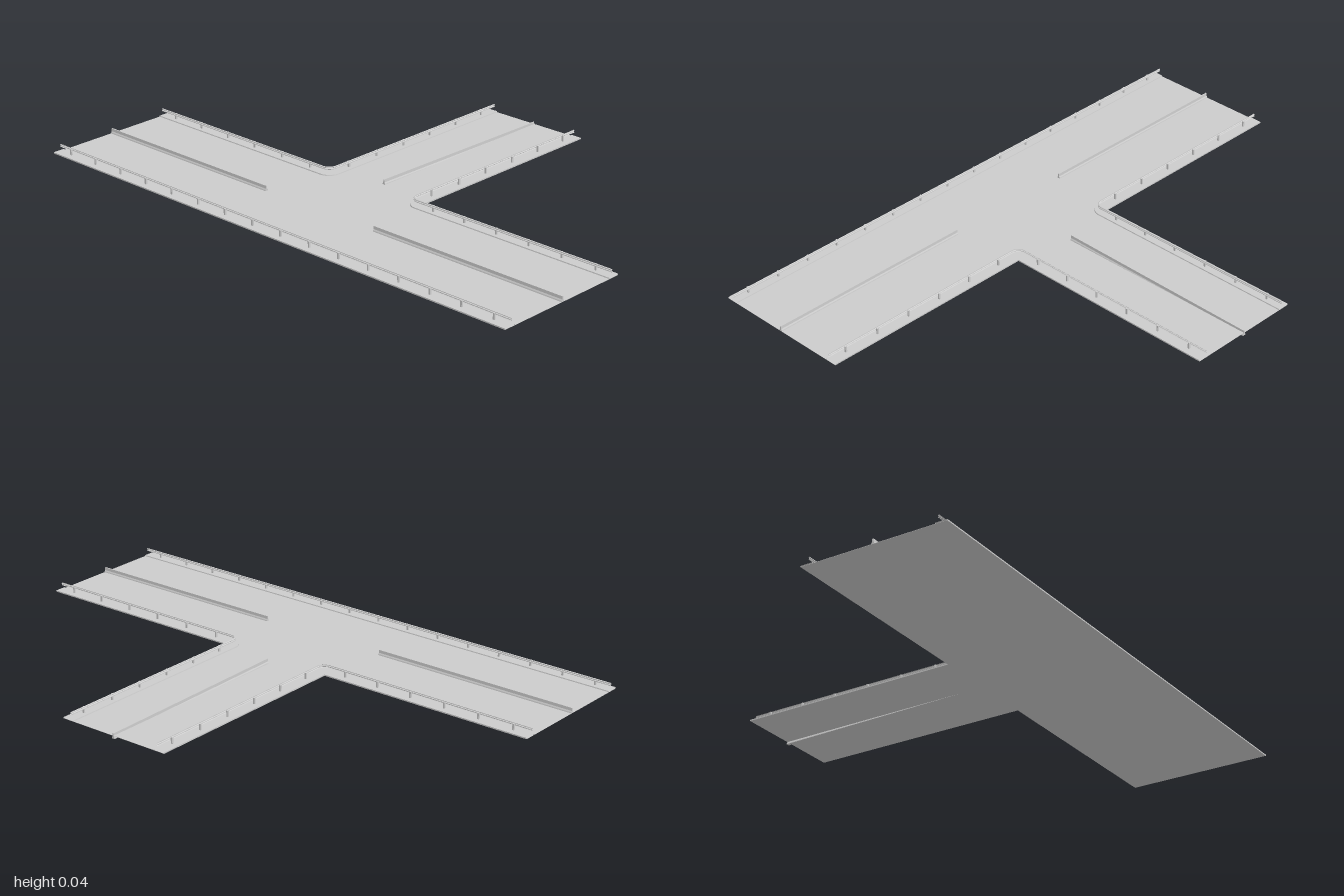
import * as THREE from 'three';

const ROAD_Y = 0.01;
const EDGE = 0.655;      // half extent in x
const KERB = 0.03;       // distance from rail line to road edge

const mat = new THREE.MeshStandardMaterial({ color: 0xcccccc, side: THREE.DoubleSide, flatShading: true });

function add(group, name, geometry) {
  const mesh = new THREE.Mesh(geometry, mat);
  mesh.name = name;
  group.add(mesh);
  return mesh;
}

// Direction pointing away from the carriageway at each path point
function outward(path, i) {
  const a = path[Math.max(i - 1, 0)], b = path[Math.min(i + 1, path.length - 1)];
  const d = b.clone().sub(a).normalize();
  return new THREE.Vector2(-d.y, d.x);
}

// Sweep a profile of [outward offset, height] along a ground path (x, z)
function sweep(path, profile) {
  const pos = [], index = [], n = profile.length;
  path.forEach((p, i) => {
    const o = outward(path, i);
    for (const [off, y] of profile) pos.push(p.x + o.x * off, y, p.y + o.y * off);
    if (i === 0) return;
    for (let k = 0; k < n - 1; k++) {
      const a = (i - 1) * n + k, b = i * n + k;
      index.push(a, b, a + 1, b, b + 1, a + 1);
    }
  });
  const g = new THREE.BufferGeometry();
  g.setAttribute('position', new THREE.Float32BufferAttribute(pos, 3));
  g.setIndex(index);
  g.computeVertexNormals();
  return g;
}

// Kerb strip, corrugated beam and posts along one path
function roadside(name, path, postRuns) {
  const g = new THREE.Group();
  g.name = name;
  add(g, 'kerb', sweep(path, [[-0.013, ROAD_Y], [-0.012, 0.014], [KERB, 0.014], [KERB, ROAD_Y]]));
  add(g, 'guardRail', sweep(path, [
    [0.002, 0.0375], [-0.001, 0.036], [-0.001, 0.034], [0.002, 0.032],
    [-0.001, 0.030], [-0.001, 0.028], [0.002, 0.0265]]));
  for (const [from, to, count, out] of postRuns) {
    for (let i = 0; i < count; i++) {
      const p = from.clone().lerp(to, (i + 0.5) / count).addScaledVector(out, 0.005);
      add(g, 'railPost', new THREE.BoxGeometry(0.006, 0.022, 0.006)).position.set(p.x, 0.024, p.y);
    }
  }
  return g;
}

// Tapered concrete barrier running along z, centred on the origin
function barrier(length) {
  const s = new THREE.Shape([[-0.006, 0], [0.006, 0], [0.005, 0.004], [0.0025, 0.008],
    [0.002, 0.018], [-0.002, 0.018], [-0.0025, 0.008], [-0.005, 0.004]]
    .map(([x, y]) => new THREE.Vector2(x, y)));
  return new THREE.ExtrudeGeometry(s, { depth: length, bevelEnabled: false }).translate(0, 0, -length / 2);
}

export function createModel() {
  const model = new THREE.Group();
  model.name = 'roadJunction';
  const V = (x, z) => new THREE.Vector2(x, z);

  // T-shaped road slab
  const outline = new THREE.Shape([V(-EDGE, -1), V(-0.138, -1), V(-0.138, -0.21), V(EDGE, -0.21),
    V(EDGE, 0.21), V(-0.138, 0.21), V(-0.138, 1), V(-EDGE, 1)]);
  const slab = new THREE.ExtrudeGeometry(outline, { depth: 0.001, bevelEnabled: false });
  slab.rotateX(Math.PI / 2).translate(0, ROAD_Y + 0.0005, 0);
  add(model, 'roadSurface', slab);

  // Straight roadside opposite the branch
  const a = V(-EDGE + KERB, -1), b = V(-EDGE + KERB, 1);
  model.add(roadside('outerRoadside', [a, b], [[a, b, 16, V(-1, 0)]]));

  // Roadsides that turn the corner into the branch, mirrored front to back
  const corner = [];
  for (let i = 0; i <= 8; i++) {
    const t = Math.PI + (i / 8) * Math.PI / 2;
    corner.push(V(-0.138 + KERB * Math.cos(t), 0.21 + KERB * Math.sin(t)));
  }
  const path = [V(-0.168, 1), V(-0.168, 0.212), ...corner, V(-0.136, 0.18), V(EDGE, 0.18)];
  for (const s of [1, -1]) {
    const side = roadside(s > 0 ? 'frontCorner' : 'backCorner', path, [
      [V(-0.168, 1), V(-0.168, 0.21), 6, V(1, 0)],
      [V(-0.138, 0.18), V(EDGE, 0.18), 6, V(0, 1)]]);
    side.scale.z = s;
    model.add(side);

    // Median of the main road
    add(model, 'mainMedian', barrier(0.76)).position.set(-0.397, ROAD_Y, s * 0.62);
  }

  // Median of the branch, sinking slightly towards the far end
  const branch = barrier(EDGE + 0.1).rotateY(Math.PI / 2);
  const p = branch.attributes.position;
  const mid = (EDGE - 0.1) / 2;
  for (let i = 0; i < p.count; i++) {
    const x = p.getX(i) + mid;
    p.setXYZ(i, x, p.getY(i) + ROAD_Y * (EDGE - x) / (EDGE + 0.1), p.getZ(i));
  }
  branch.computeVertexNormals();
  add(model, 'branchMedian', branch);

  return model;
}
